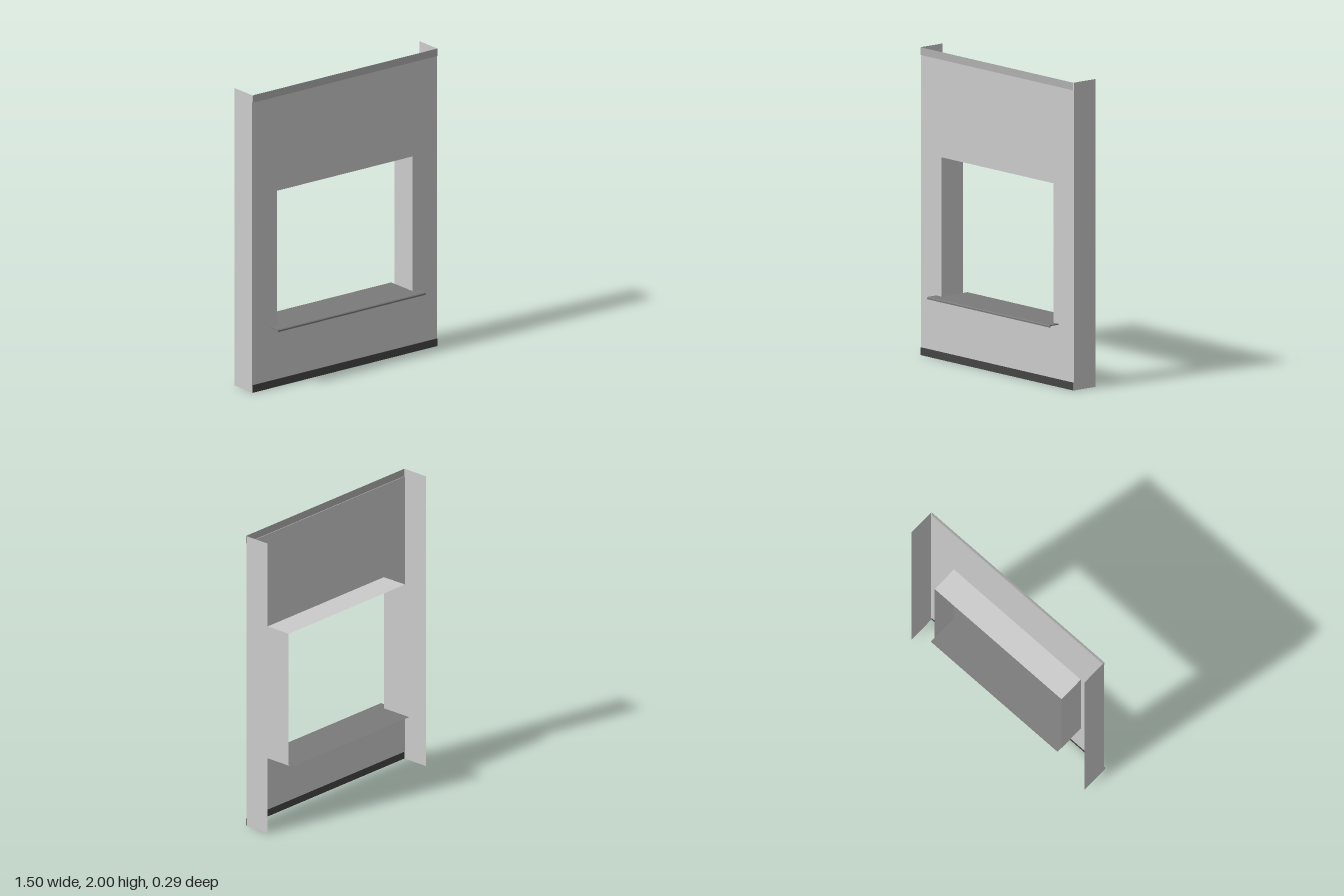
import * as THREE from 'three';

const material = (color) => new THREE.MeshStandardMaterial({ color, side: THREE.DoubleSide });

export function createModel() {
  const group = new THREE.Group();
  const sheet = material(0xcccccc);
  const topGrey = material(0xb0b0b0);
  const baseGrey = material(0x444444);
  const sillGrey = material(0x7a7a7a);

  const W = 0.75, H = 2, trim = 0.05;          // panel half width, height, trim height
  const front = 0.071, back = -0.11;           // sheet planes
  const ox = 0.55, oy0 = 0.405, oy1 = 1.315;   // window opening
  const depth = front - back, midZ = (front + back) / 2;

  function add(name, geometry, mat, x = 0, y = 0, z = 0) {
    const mesh = new THREE.Mesh(geometry, mat);
    mesh.name = name;
    mesh.position.set(x, y, z);
    group.add(mesh);
    return mesh;
  }
  const upright = (w, h) => new THREE.PlaneGeometry(w, h);
  const sideways = (d, h) => new THREE.PlaneGeometry(d, h).rotateY(Math.PI / 2);
  const flat = (w, d) => new THREE.PlaneGeometry(w, d).rotateX(-Math.PI / 2);

  // Front panel with the window opening
  const face = new THREE.Shape([
    new THREE.Vector2(-W, trim), new THREE.Vector2(W, trim),
    new THREE.Vector2(W, H - trim), new THREE.Vector2(-W, H - trim),
  ]);
  face.holes.push(new THREE.Path([
    new THREE.Vector2(-ox, oy0), new THREE.Vector2(-ox, oy1),
    new THREE.Vector2(ox, oy1), new THREE.Vector2(ox, oy0),
  ]));
  add('frontPanel', new THREE.ShapeGeometry(face), sheet, 0, 0, front);

  // Trim strips, set slightly forward and joined by a small ledge
  const step = 0.005;
  for (const [name, mat, y, ledgeY] of [
    ['topTrim', topGrey, H - trim / 2, H - trim],
    ['baseTrim', baseGrey, trim / 2, trim],
  ]) {
    add(name, upright(2 * W, trim), mat, 0, y, front + step);
    add(name + 'Ledge', flat(2 * W, step), mat, 0, ledgeY, front + step / 2);
  }

  // Side returns and window jambs
  for (const [side, s] of [['left', 1], ['right', -1]]) {
    add(side + 'Return', sideways(depth, H), sheet, s * W, H / 2, midZ);
    add(side + 'Jamb', sideways(depth, oy1 - oy0), sheet, s * ox, (oy0 + oy1) / 2, midZ);
  }

  // Window head and bottom lining
  add('windowHead', flat(2 * ox, depth), sheet, 0, oy1, midZ);
  add('windowBottom', flat(2 * ox, depth), sheet, 0, oy0, midZ);

  // Sill board running through the opening and out at the back
  const sillY = 0.41, sillEnd = 0.147;
  add('sillBoard', flat(2 * ox, front + sillEnd), sillGrey, 0, sillY, (front - sillEnd) / 2);

  // Wider projecting sill nose with a small drip lip
  const t = 0.006;
  const nose = new THREE.Shape([
    [front, sillY], [sillEnd - 0.005, sillY], [sillEnd, sillY - 0.005],
    [sillEnd, sillY - 0.015], [sillEnd - t, sillY - 0.015],
    [sillEnd - t, sillY - t], [front, sillY - t],
  ].map(([z, y]) => new THREE.Vector2(-z, y)));
  const noseGeo = new THREE.ExtrudeGeometry(nose, { depth: 1.2, bevelEnabled: false });
  noseGeo.translate(0, 0, -0.6).rotateY(Math.PI / 2);
  add('sillNose', noseGeo, sillGrey);

  return group;
}
